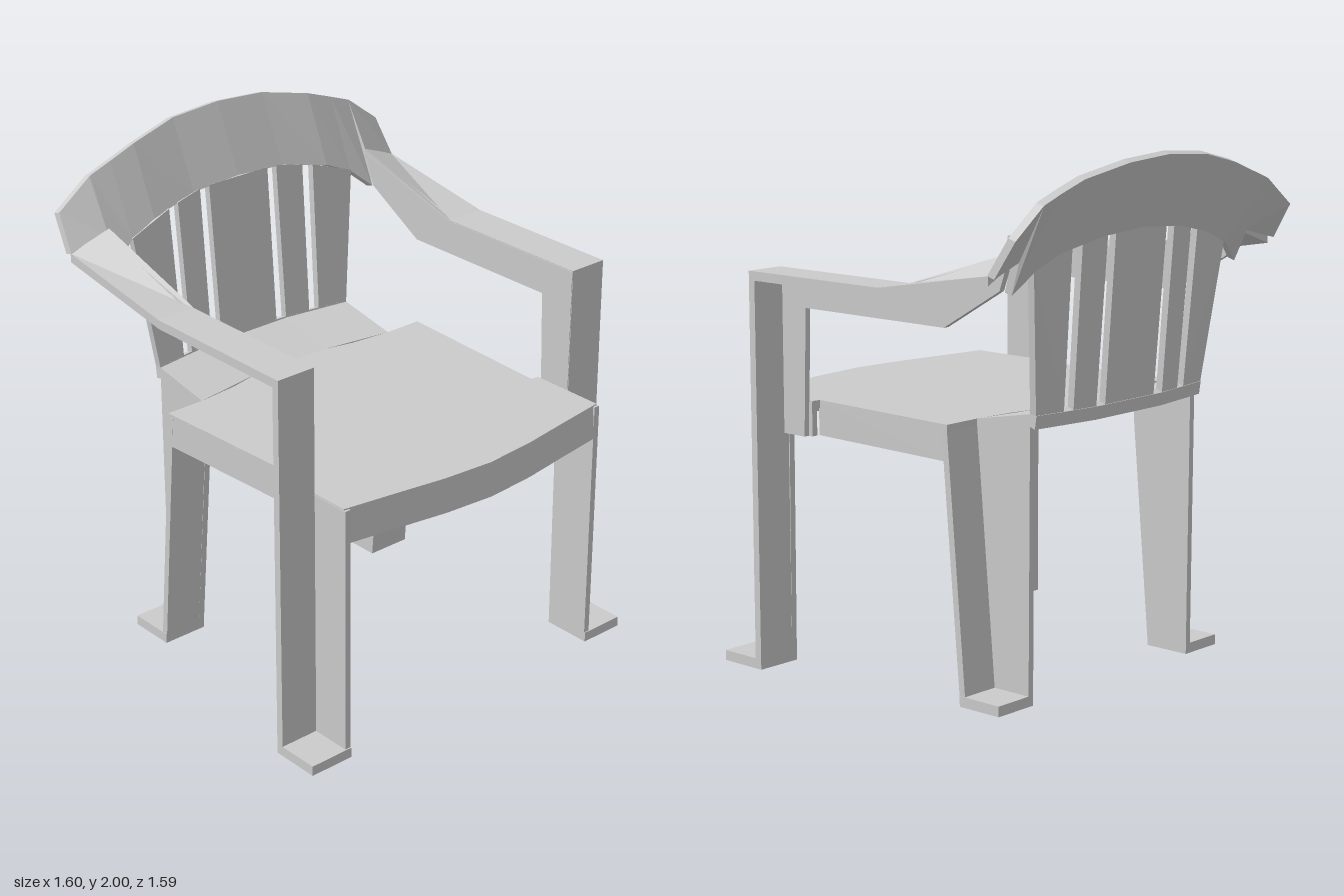
import * as THREE from 'three';

const material = new THREE.MeshStandardMaterial({ color: 0xcccccc, flatShading: true, side: THREE.DoubleSide });

function addMesh(group, name, geometry) {
  const mesh = new THREE.Mesh(geometry, material);
  mesh.name = name;
  group.add(mesh);
}

// Closed thick sheet: a grid of points and its copy moved by an offset, joined along the rim.
function sheet(rows, offset, side = 1) {
  const R = rows.length, C = rows[0].length;
  const at = (i, j, k) => new THREE.Vector3(
    side * (rows[i][j][0] + k * offset[0]), rows[i][j][1] + k * offset[1], rows[i][j][2] + k * offset[2]);
  const tris = [];
  const quad = (a, b, c, d) => tris.push([a, b, c], [a, c, d]);
  for (let i = 0; i < R - 1; i++) for (let j = 0; j < C - 1; j++) {
    quad(at(i, j, 0), at(i + 1, j, 0), at(i + 1, j + 1, 0), at(i, j + 1, 0));
    quad(at(i, j, 1), at(i, j + 1, 1), at(i + 1, j + 1, 1), at(i + 1, j, 1));
  }
  for (let j = 0; j < C - 1; j++) {
    quad(at(0, j, 0), at(0, j + 1, 0), at(0, j + 1, 1), at(0, j, 1));
    quad(at(R - 1, j + 1, 0), at(R - 1, j, 0), at(R - 1, j, 1), at(R - 1, j + 1, 1));
  }
  for (let i = 0; i < R - 1; i++) {
    quad(at(i + 1, 0, 0), at(i, 0, 0), at(i, 0, 1), at(i + 1, 0, 1));
    quad(at(i, C - 1, 0), at(i + 1, C - 1, 0), at(i + 1, C - 1, 1), at(i, C - 1, 1));
  }
  // turn the faces outward if the signed volume is negative
  let volume = 0;
  for (const [a, b, c] of tris) volume += a.dot(b.clone().cross(c));
  const points = tris.flatMap(([a, b, c]) => (volume < 0 ? [a, c, b] : [a, b, c]));
  const geometry = new THREE.BufferGeometry().setFromPoints(points);
  geometry.computeVertexNormals();
  return geometry;
}

// Upright plate from a (z, y) outline, spanning x0..x1 on the given side.
function plate(outline, x0, x1, side) {
  const shape = new THREE.Shape(outline.map(([z, y]) => new THREE.Vector2(-z, y)));
  return new THREE.ExtrudeGeometry(shape, { depth: x1 - x0, bevelEnabled: false })
    .rotateY(Math.PI / 2).translate(side > 0 ? x0 : -x1, 0, 0);
}

function block(x0, x1, y0, y1, z0, z1, side) {
  return new THREE.BoxGeometry(x1 - x0, y1 - y0, z1 - z0)
    .translate(side * (x0 + x1) / 2, (y0 + y1) / 2, (z0 + z1) / 2);
}

// Full row from its +x half (the first point lies on the centre line).
const mirrored = half => [...half.slice(1).reverse().map(([x, y, z]) => [-x, y, z]), ...half];

// Lower edge of the top rail, and the plan curve of the back
const railLow = [[0, 1.73, -0.645], [0.22, 1.715, -0.645], [0.43, 1.67, -0.62], [0.545, 1.62, -0.61],
  [0.638, 1.54, -0.58], [0.645, 1.66, -0.62], [0.8, 1.62, -0.645]];
const railTop = [[0, 2, -0.765], [0.22, 1.985, -0.765], [0.43, 1.94, -0.735], [0.545, 1.9, -0.73],
  [0.638, 1.866, -0.73], [0.645, 1.862, -0.73], [0.787, 1.755, -0.73]];
function railY(x) {
  const a = Math.abs(x), i = railLow.findIndex((p, k) => k > 0 && a <= p[0]);
  const [p, q] = [railLow[i - 1], railLow[i]];
  return p[1] + (q[1] - p[1]) * (a - p[0]) / (q[0] - p[0]);
}
const curve = x => 0.04 * THREE.MathUtils.clamp((Math.abs(x) - 0.2) / 0.275, 0, 1);

function addSeat(group) {
  const front = [[0, 1.035, 0.785], [0.21, 1.035, 0.768], [0.4, 1.035, 0.738], [0.635, 1.035, 0.703]];
  const half = [...front.map(p => [p[0], p[2]]), [0.635, 0.39], [0.602, 0.385], [0.635, -0.3],
    [0.475, -0.3], [0.3, -0.318], [0.18, -0.345]];
  const outline = [...half, ...half.slice(1).reverse().map(([x, z]) => [-x, z])];
  const shape = new THREE.Shape(outline.map(p => new THREE.Vector2(...p)));
  addMesh(group, 'seatTop', new THREE.ExtrudeGeometry(shape, { depth: 0.03, bevelEnabled: false })
    .rotateX(Math.PI / 2).translate(0, 1.035, 0));

  const top = mirrored(front);
  addMesh(group, 'seatFrontApron', sheet([top, top.map(([x, , z]) => [x, 0.9, z + 0.012])], [0, 0, -0.03]));

  // rear of the seat sloping up to the back
  const xs = [-0.475, -0.3, -0.18, 0.18, 0.3, 0.475];
  const crease = x => -0.345 + 0.045 * THREE.MathUtils.clamp((Math.abs(x) - 0.18) / 0.295, 0, 1);
  addMesh(group, 'seatRear', sheet([
    xs.map(x => [x, 1.035, crease(x)]),
    xs.map(x => [x, 1.085, -0.6 + curve(x)]),
  ], [0, -0.03, 0]));
}

function addBack(group) {
  addMesh(group, 'topRail', sheet([mirrored(railTop), mirrored(railLow)], [0, -0.01, -0.032]));

  const xs = [-0.475, -0.345, -0.19, 0.19, 0.345, 0.475];
  addMesh(group, 'backBase', sheet([
    xs.map(x => [x, 1.09, -0.595 + curve(x)]),
    xs.map(x => [x, 1.04, -0.588 + curve(x)]),
  ], [0, -0.01, -0.03]));

  // slats as [base x0, base x1, top x0, top x1]
  const slat = (name, [b0, b1, t0, t1], side) => addMesh(group, name, sheet([
    [b0, b1].map(x => [x, 1.085, -0.595 + curve(x)]),
    [t0, t1].map(x => [x, railY(x) + 0.005, -0.645 + curve(x)]),
  ], [0, -0.005, -0.028], side));
  slat('centreSlat', [-0.14, 0.14, -0.145, 0.145], 1);
  for (const side of [1, -1]) {
    const label = side > 0 ? 'Left' : 'Right';
    slat('middleSlat' + label, [0.19, 0.3, 0.19, 0.31], side);
    slat('outerSlat' + label, [0.345, 0.475, 0.358, 0.545], side);
  }
}

function addSide(group, side) {
  const label = side > 0 ? 'Left' : 'Right';
  const add = (name, geometry) => addMesh(group, name + label, geometry);

  // seat side skirt, tapering around the arm post
  add('seatSideApron', sheet([
    [[0.602, 1.03, 0.39], [0.635, 1.03, -0.3]],
    [[0.602, 0.9, 0.39], [0.635, 0.9, -0.285]],
  ], [-0.025, 0, 0], side));

  // front leg: inner web, cross wall that turns into the arm top, and foot
  add('frontLegWeb', plate([[0.715, 0.01], [0.715, 1.03], [0.39, 1.03], [0.39, 0.9], [0.515, 0.9], [0.52, 0.01]],
    0.613, 0.638, side));
  add('frontLegAndArmTop', plate([[0.55, 0.01], [0.55, 1.53], [-0.12, 1.53], [-0.12, 1.495], [0.52, 1.495], [0.52, 0.01]],
    0.638, 0.8, side));
  add('frontFoot', block(0.613, 0.8, 0, 0.04, 0.52, 0.72, side));

  // arm: hanging inner web and rising rear section
  add('armWeb', plate([[0.548, 0.9], [0.548, 1.525], [-0.12, 1.525], [-0.62, 1.67], [-0.575, 1.545],
    [-0.31, 1.39], [0.395, 1.39], [0.41, 0.9]], 0.636, 0.66, side));
  add('armRear', sheet([
    [[0.638, 1.53, -0.12], [0.8, 1.53, -0.12]],
    [[0.638, 1.685, -0.625], [0.8, 1.62, -0.65]],
  ], [0, -0.035, 0], side));

  // back leg: inner web, sloping front wall and foot
  add('backLegWeb', plate([[-0.29, 1.03], [-0.555, 1.08], [-0.55, 0.01], [-0.36, 0.01], [-0.28, 0.9]],
    0.45, 0.475, side));
  add('backLegFrontWall', sheet([
    [[0.45, 1.02, -0.272], [0.635, 1.02, -0.272]],
    [[0.45, 0.01, -0.36], [0.635, 0.01, -0.36]],
  ], [0, 0, -0.027], side));
  add('backFoot', block(0.45, 0.637, 0, 0.04, -0.55, -0.36, side));
}

export function createModel() {
  const chair = new THREE.Group();
  chair.name = 'armchair';
  addSeat(chair);
  addBack(chair);
  for (const side of [1, -1]) addSide(chair, side);
  return chair;
}
